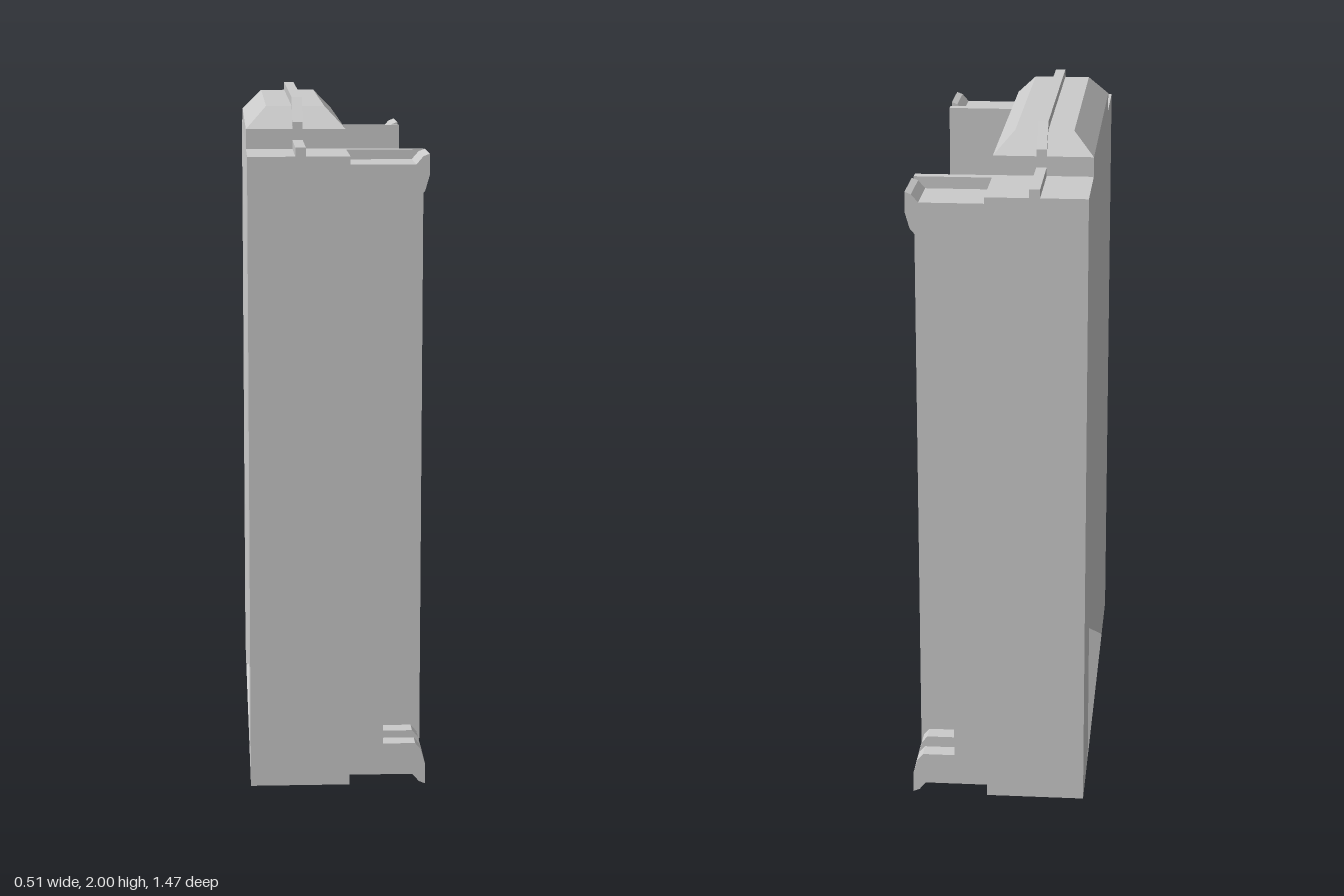
import * as THREE from 'three';

const X0 = -0.26, X1 = 0.03;          // depth of the main frame
const Y0 = 0.01, Y1 = 1.855;          // bottom and top of the columns
const material = new THREE.MeshStandardMaterial({ color: 0xcccccc, flatShading: true });

function add(parent, name, geometry) {
  const mesh = new THREE.Mesh(geometry, material);
  mesh.name = name;
  parent.add(mesh);
  return mesh;
}

// Box given by its limits
function box(parent, name, x0, x1, y0, y1, z0, z1) {
  const g = new THREE.BoxGeometry(x1 - x0, y1 - y0, Math.abs(z1 - z0));
  g.translate((x0 + x1) / 2, (y0 + y1) / 2, (z0 + z1) / 2);
  return add(parent, name, g);
}

// Side outline in x and y, extruded along z between two limits
function slab(points, z0, z1) {
  const shape = new THREE.Shape(points.map(([x, y]) => new THREE.Vector2(x, y)));
  const g = new THREE.ExtrudeGeometry(shape, { depth: Math.abs(z1 - z0), bevelEnabled: false });
  return g.translate(0, 0, Math.min(z0, z1));
}

// Skin through four-cornered rings, optionally closed on the last ring
function loft(rings, cap) {
  const pos = [];
  const quad = (a, b, c, d) => pos.push(...a, ...b, ...c, ...a, ...c, ...d);
  for (let r = 0; r < rings.length - 1; r++) {
    for (let i = 0; i < 4; i++) {
      const j = (i + 1) % 4;
      quad(rings[r][i], rings[r][j], rings[r + 1][j], rings[r + 1][i]);
    }
  }
  if (cap) quad(...rings[rings.length - 1]);
  const g = new THREE.BufferGeometry();
  g.setAttribute('position', new THREE.Float32BufferAttribute(pos, 3));
  g.computeVertexNormals();
  return g;
}

// Clip with a raised lip; the bottom one is flipped in y
function addClip(parent, s, flip) {
  const place = (pts) => pts.map(([x, y]) => [x, flip ? 1.86 - y : y]);
  const plate = place([[X1, 1.77], [0.235, 1.77], [0.255, 1.80], [0.255, 1.86],
    [0.237, 1.853], [0.217, 1.83], [X1, 1.83]]);
  const cheek = place([[X1, 1.735], [0.225, 1.735], [0.242, 1.755], [0.255, 1.80],
    [0.235, 1.825], [X1, 1.825]]);
  const clip = new THREE.Group();
  clip.name = flip ? 'bottomClip' : 'topClip';
  add(clip, 'clipPlate', slab(plate, s * 0.54, s * 0.71));
  add(clip, 'clipCheek', slab(cheek, s * 0.54, s * 0.592));
  add(clip, 'clipCheek', slab(cheek, s * 0.658, s * 0.71));
  parent.add(clip);
}

function addColumn(parent, s) {
  const column = new THREE.Group();
  column.name = s > 0 ? 'frontColumn' : 'backColumn';
  box(column, 'post', X0, X1, Y0, Y1, s * 0.467, s * 0.737);
  box(column, 'postRib', -0.125, -0.095, Y1, 1.88, s * 0.467, s * 0.737);
  box(column, 'fin', X1, 0.255, Y0, Y1, s * 0.468, s * 0.5);
  // Slotted channel carrying the clips
  box(column, 'channelBack', X1, 0.055, 0.05, 1.81, s * 0.54, s * 0.71);
  box(column, 'channelWall', X1, 0.13, 0.05, 1.81, s * 0.54, s * 0.592);
  box(column, 'channelWall', X1, 0.13, 0.05, 1.81, s * 0.658, s * 0.71);
  box(column, 'channelCatch', 0.05, 0.11, 0.932, 0.947, s * 0.59, s * 0.66);
  addClip(column, s, false);
  addClip(column, s, true);
  parent.add(column);
}

export function createModel() {
  const model = new THREE.Group();
  model.name = 'doubleColumnFrame';
  for (const s of [1, -1]) addColumn(model, s);

  // Bevelled lining of the opening
  const opening = (x, z, y0, y1) => [[x, y0, z], [x, y0, -z], [x, y1, -z], [x, y1, z]];
  add(model, 'openingLining', loft([
    opening(X1, 0.467, Y0, Y1), opening(-0.03, 0.4, 0.07, 1.795),
    opening(-0.2, 0.4, 0.07, 1.795), opening(X0, 0.467, Y0, Y1)], false));

  // Underside of the sill
  add(model, 'sillUnderside', loft([[[X0, Y0, -0.467], [X1, Y0, -0.467],
    [X1, Y0, 0.467], [X0, Y0, 0.467]]], true));

  // Lintel with sloping sides and ends
  const level = (y, x0, x1, z) => [[x0, y, z], [x1, y, z], [x1, y, -z], [x0, y, -z]];
  add(model, 'lintel', loft([level(Y1, X0, X1, 0.467), level(1.912, X0, X1, 0.467),
    level(1.975, -0.2, -0.03, 0.405)], true));

  // Ridge along the lintel
  const ridge = slab([[-0.467, 1.87], [0.467, 1.87], [0.467, 1.932], [0.395, 2],
    [-0.395, 2], [-0.467, 1.932]], -0.015, 0.015);
  ridge.rotateY(-Math.PI / 2).translate(-0.11, 0, 0);
  add(model, 'lintelRidge', ridge);
  return model;
}
